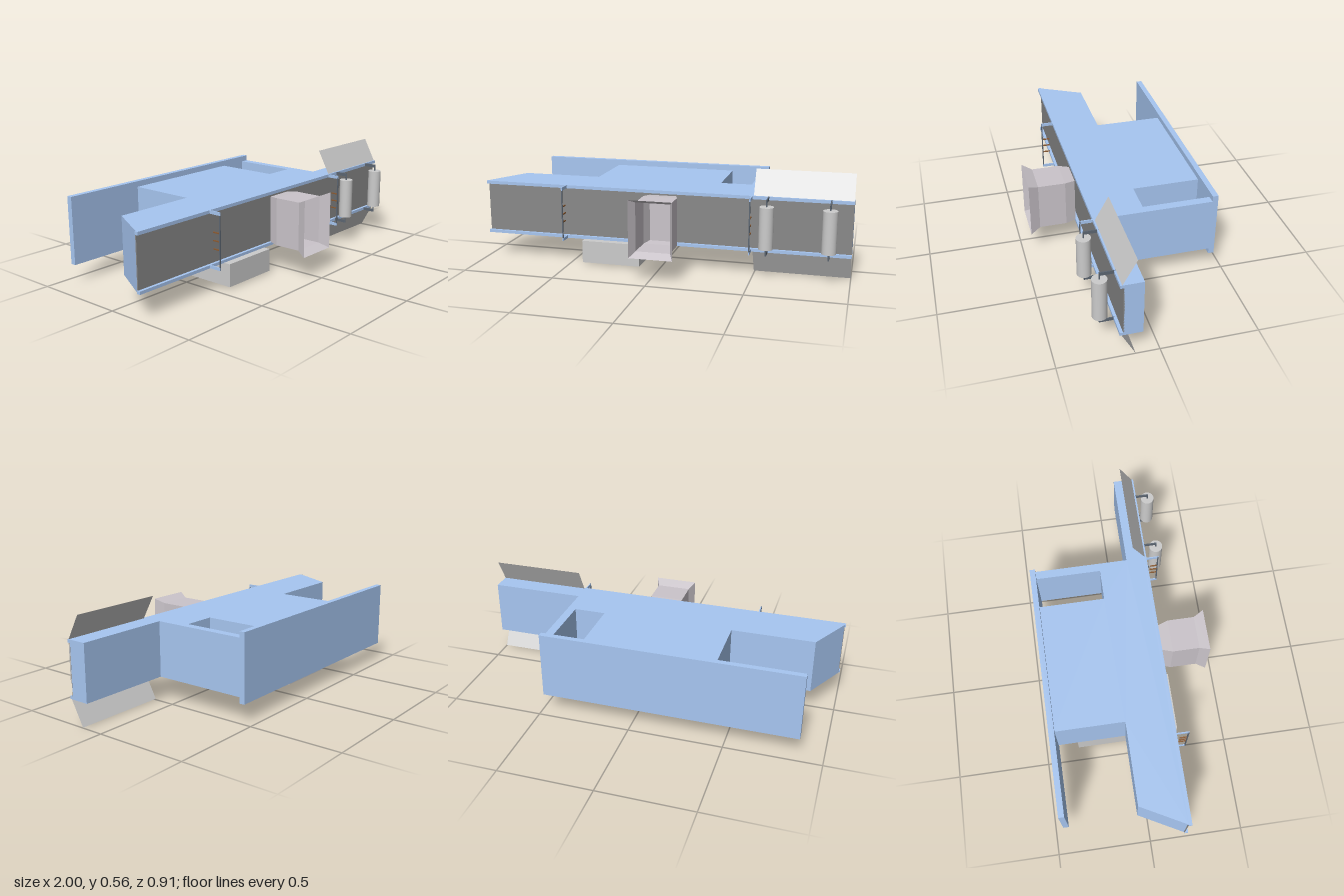
import * as THREE from 'three';

const mat = (color, side = THREE.FrontSide) =>
  new THREE.MeshStandardMaterial({ color, side, flatShading: true });

export function createModel() {
  const model = new THREE.Group();
  const blue = mat(0xa7c6f1), grey = mat(0xcccccc), dark = mat(0x888888);
  const steel = mat(0x5c6672), brown = mat(0x8a5a32);
  const sheet = mat(0xcccccc, THREE.DoubleSide), duct = mat(0xcac4ca, THREE.DoubleSide);

  const add = (name, geometry, material, parent = model) => {
    const mesh = new THREE.Mesh(geometry, material);
    mesh.name = name;
    parent.add(mesh);
    return mesh;
  };
  // Box given by its minimum and maximum on each axis
  const box = (name, [x0, x1], [y0, y1], [z0, z1], material, parent) => {
    const g = new THREE.BoxGeometry(x1 - x0, y1 - y0, z1 - z0);
    g.translate((x0 + x1) / 2, (y0 + y1) / 2, (z0 + z1) / 2);
    return add(name, g, material, parent);
  };
  // Slab with a plan outline of [x, z] points between two heights
  const slab = (name, points, y0, y1, material) => {
    const shape = new THREE.Shape(points.map(([x, z]) => new THREE.Vector2(x, -z)));
    const g = new THREE.ExtrudeGeometry(shape, { depth: y1 - y0, bevelEnabled: false });
    g.rotateX(-Math.PI / 2).translate(0, y0, 0);
    return add(name, g, material);
  };

  // Main body: arm with slanted end, rear block with a slot, narrow arm
  slab('body', [
    [-0.995, 0.18], [1, 0.18], [1, 0.085], [0.49, 0.085], [0.49, -0.43], [0.445, -0.43],
    [0.445, -0.07], [0.275, -0.07], [0.275, -0.43], [-0.43, -0.43], [-0.43, -0.055], [-0.87, -0.055],
  ], 0.13, 0.427, blue);
  box('rearWall', [-0.875, 0.49], [0.098, 0.458], [-0.455, -0.425], blue);

  // Front channel: belt face between two flanges
  box('belt', [-0.995, 1], [0.146, 0.41], [0.176, 0.182], dark);
  for (const [y0, y1] of [[0.13, 0.146], [0.41, 0.427]])
    box('flange', [-1, 1], [y0, y1], [0.18, 0.198], blue);

  // Guide flaps above and below the narrow arm, leaning back
  for (const [name, yHinge, yEdge] of [['upperFlap', 0.425, 0.555], ['lowerFlap', 0.132, 0.002]]) {
    const g = new THREE.PlaneGeometry(0.505, 1, 1, 1);
    const p = g.attributes.position;
    for (let i = 0; i < p.count; i++) {
      const atEdge = p.getY(i) > 0;
      p.setXYZ(i, p.getX(i) + 0.7475, atEdge ? yEdge : yHinge, atEdge ? 0.12 : 0.19);
    }
    g.computeVertexNormals();
    add(name, g, sheet);
  }

  // Sensor frames standing off the channel
  for (const x of [-0.53, 0.486]) {
    const frame = new THREE.Group();
    frame.name = 'sensorFrame';
    model.add(frame);
    const xs = [x - 0.003, x + 0.003];
    for (const ys of [[0.13, 0.146], [0.41, 0.427]]) box('frameArm', xs, ys, [0.198, 0.265], blue, frame);
    box('frameUpright', xs, [0.13, 0.427], [0.259, 0.265], steel, frame);
    for (const y of [0.235, 0.278, 0.32]) box('sensorPin', xs, [y - 0.003, y + 0.003], [0.22, 0.262], brown, frame);
  }

  // Rollers on thin brackets
  for (const x of [0.572, 0.888]) {
    const roller = new THREE.Group();
    roller.name = 'rollerUnit';
    model.add(roller);
    const cyl = (name, r, y0, y1, material) =>
      add(name, new THREE.CylinderGeometry(r, r, y1 - y0, 32).translate(x, (y0 + y1) / 2, 0.265),
        new THREE.MeshStandardMaterial({ color: material.color }), roller);
    cyl('roller', 0.037, 0.17, 0.39, grey);
    cyl('axle', 0.004, 0.132, 0.425, steel);
    for (const ys of [[0.13, 0.146], [0.41, 0.427]])
      box('rollerBracket', [x - 0.003, x + 0.003], ys, [0.19, 0.267], steel, roller);
  }

  // Open flared chute, lofted from rectangles [z, half width, half height]
  const sections = [[0.2, 0.072, 0.125], [0.255, 0.091, 0.129], [0.4, 0.091, 0.129], [0.453, 0.115, 0.152]];
  const verts = [], index = [];
  for (const [z, w, h] of sections)
    for (const [sx, sy] of [[-1, -1], [1, -1], [1, 1], [-1, 1]]) verts.push(0.015 + sx * w, 0.277 + sy * h, z);
  for (let s = 0; s < sections.length - 1; s++)
    for (let k = 0; k < 4; k++) {
      const a = s * 4 + k, b = s * 4 + (k + 1) % 4;
      index.push(a, b, b + 4, a, b + 4, a + 4);
    }
  index.push(0, 1, 2, 0, 2, 3);
  const chute = new THREE.BufferGeometry();
  chute.setAttribute('position', new THREE.Float32BufferAttribute(verts, 3));
  chute.setIndex(index);
  chute.computeVertexNormals();
  add('chute', chute, duct);

  // Underside: cover plates and control box with indicator panel
  slab('armCoverPlate', [[-0.94, 0.1], [-0.47, 0.1], [-0.47, -0.02], [-0.87, -0.02]], 0.115, 0.131, blue);
  box('blockCoverPlate', [-0.075, 0.24], [0.115, 0.131], [-0.325, 0.1], blue);
  box('controlBox', [-0.43, -0.108], [0.009, 0.131], [-0.32, 0.236], grey);
  box('indicatorPanel', [-0.415, -0.12], [0.003, 0.01], [-0.01, 0.175], grey);
  [[-0.34, 0xd04848], [-0.27, 0x4fae78], [-0.2, 0xd04848]].forEach(([x, color]) =>
    add('indicator', new THREE.CylinderGeometry(0.018, 0.018, 0.004, 20).translate(x, 0.002, 0.08), mat(color)));

  return model;
}
